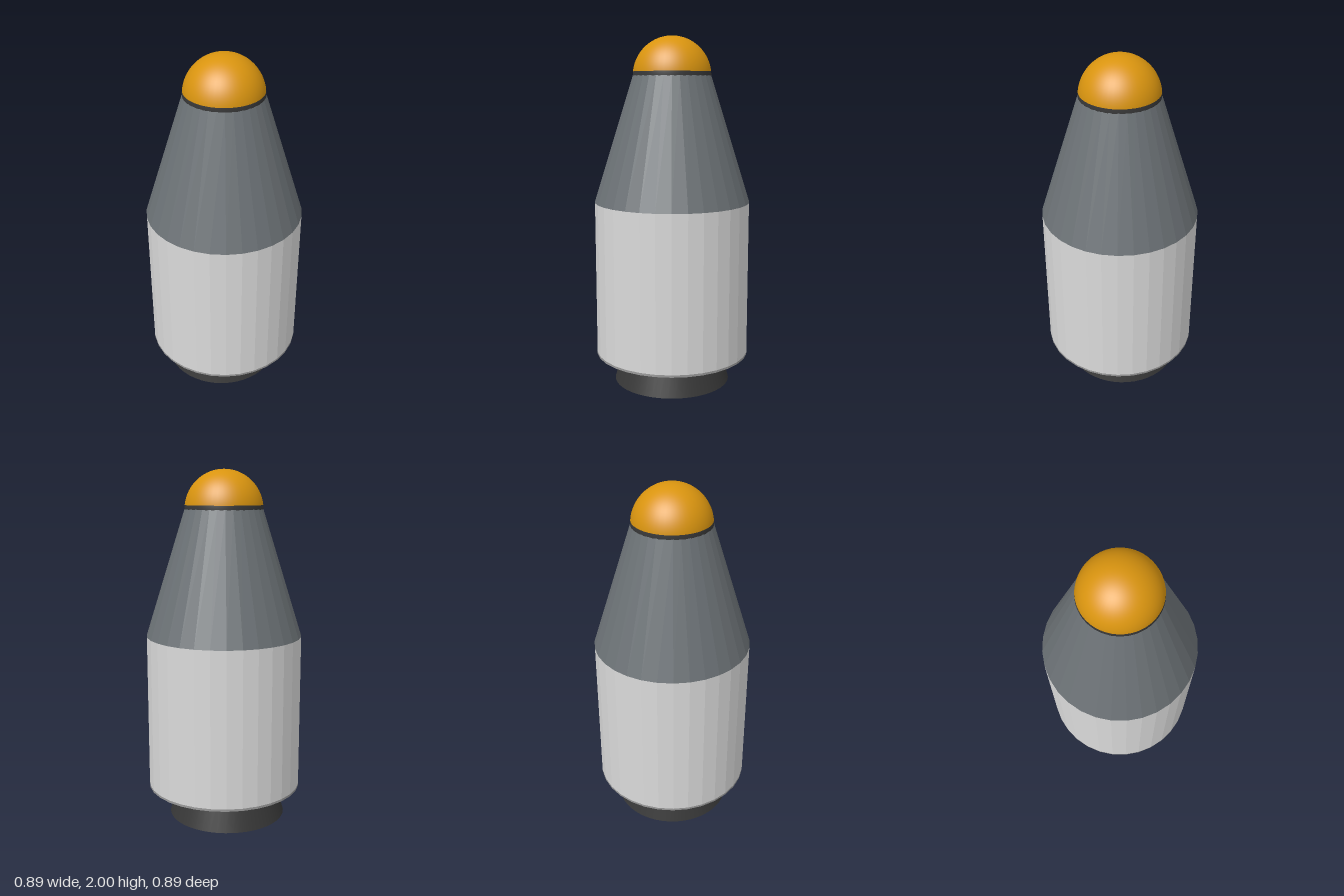
import * as THREE from 'three';

const SIDES = 32;

function material(name, color) {
  const m = new THREE.MeshStandardMaterial({ color });
  m.name = name;
  return m;
}

export function createModel() {
  const group = new THREE.Group();
  const white = material('bodyWhite', 0xdadada);
  const grey = material('rimGrey', 0x999999);
  const slate = material('coneSlate', 0x6c7276);
  const dark = material('nozzleDark', 0x383838);
  const amber = material('domeAmber', 0xd9940f);

  function add(name, geometry, mat, x = 0, y = 0, z = 0) {
    const mesh = new THREE.Mesh(geometry, mat);
    mesh.name = name;
    mesh.position.set(x, y, z);
    group.add(mesh);
    return mesh;
  }

  // Open tapered wall with flat facets, from height y0 to y1
  function wall(name, rBottom, rTop, y0, y1, mat) {
    const g = new THREE.CylinderGeometry(rTop, rBottom, y1 - y0, SIDES, 1, true).toNonIndexed();
    g.computeVertexNormals();
    return add(name, g, mat, 0, (y0 + y1) / 2, 0);
  }

  // Main barrel with a thin grey lower edge, and the cone above it
  wall('lowerEdge', 0.444, 0.444, 0.175, 0.188, grey);
  wall('barrel', 0.444, 0.444, 0.188, 1.07, white);
  wall('cone', 0.444, 0.22, 1.07, 1.782, slate);

  // Underside: grey ring around a dark plate
  add('baseRing', new THREE.RingGeometry(0.38, 0.444, SIDES), grey, 0, 0.175, 0).rotation.x = Math.PI / 2;
  add('basePlate', new THREE.CircleGeometry(0.38, SIDES), dark, 0, 0.175, 0).rotation.x = Math.PI / 2;

  // Flared nozzle, set very slightly off centre
  add('nozzle', new THREE.CylinderGeometry(0.285, 0.338, 0.18, 48), dark, -0.018, 0.09, 0.005);

  // Rounded tip with a dark collar at its foot
  const r = 0.22, split = Math.acos(0.024 / r);
  add('dome', new THREE.SphereGeometry(r, 48, 20, 0, Math.PI * 2, 0, split), amber, 0, 1.78, 0);
  add('domeCollar', new THREE.SphereGeometry(r, 48, 2, 0, Math.PI * 2, split, Math.PI / 2 - split), dark, 0, 1.78, 0);

  return group;
}
